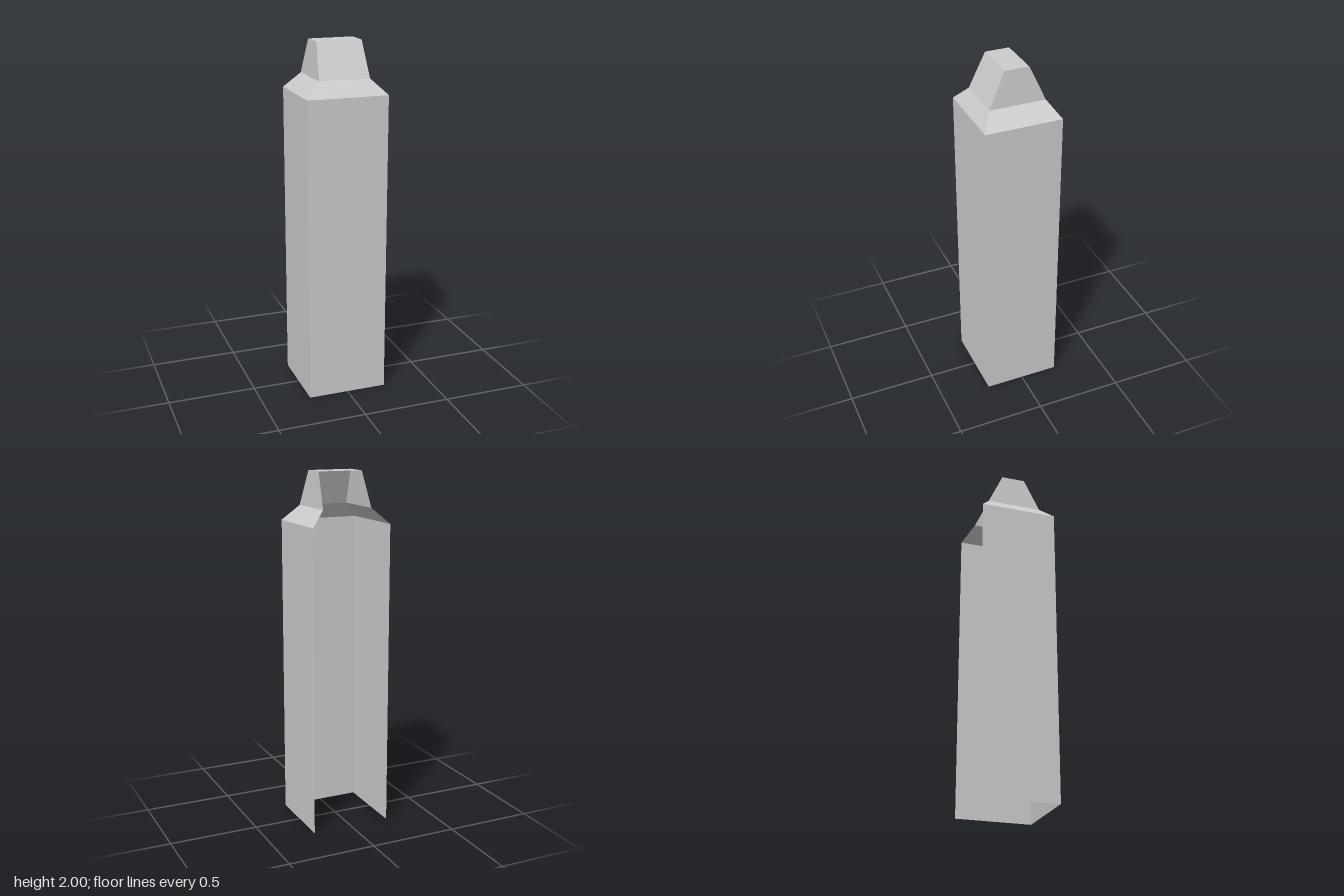
import * as THREE from 'three';

// Rectangular cross-sections from base to top: [y, half width, half depth]
const SECTIONS = [
  [0, 0.228, 0.217],
  [1.72, 0.228, 0.217],
  [1.805, 0.143, 0.157],
  [2, 0.128, 0.068],
];

// Corner signs (x, z) of the two vertical edges bounding each wall, left to right from outside
const WALLS = {
  frontWall: [[-1, 1], [1, 1]],
  leftWall: [[1, 1], [1, -1]],
  rightWall: [[-1, -1], [-1, 1]],
};

const corner = ([y, w, d], [sx, sz]) => [sx * w, y, sz * d];

// Flat-shaded mesh from quads given counter-clockwise
function quadMesh(name, quads, material) {
  const positions = quads.flatMap(([a, b, c, d]) => [a, b, c, a, c, d]).flat();
  const geometry = new THREE.BufferGeometry();
  geometry.setAttribute('position', new THREE.Float32BufferAttribute(positions, 3));
  geometry.computeVertexNormals();
  const mesh = new THREE.Mesh(geometry, material);
  mesh.name = name;
  return mesh;
}

export function createModel() {
  const group = new THREE.Group();
  group.name = 'openBackTower';
  const grey = new THREE.MeshStandardMaterial({ color: 0xcccccc, side: THREE.DoubleSide });
  grey.name = 'light grey';

  // Three thin walls, each with shaft, shoulder and neck; back and base stay open
  for (const [name, [a, b]] of Object.entries(WALLS)) {
    const quads = SECTIONS.slice(1).map((upper, i) => {
      const lower = SECTIONS[i];
      return [corner(lower, a), corner(lower, b), corner(upper, b), corner(upper, a)];
    });
    group.add(quadMesh(name, quads, grey));
  }

  // Flat cap
  const top = SECTIONS[SECTIONS.length - 1];
  const cap = [[-1, 1], [1, 1], [1, -1], [-1, -1]].map((s) => corner(top, s));
  group.add(quadMesh('topCap', [cap], grey));

  return group;
}
